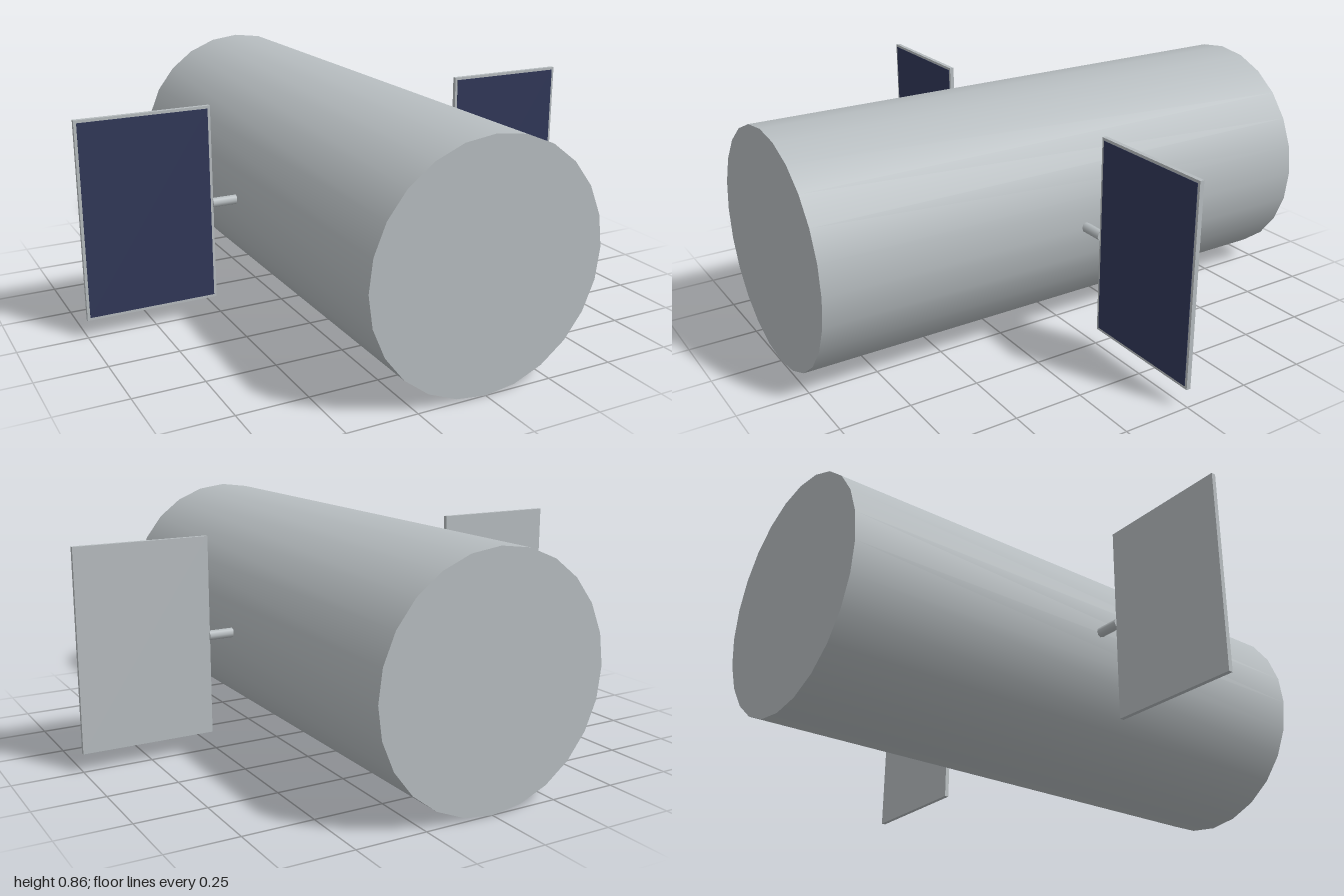
import * as THREE from 'three';

export function createModel() {
  const group = new THREE.Group();
  const metal = new THREE.MeshStandardMaterial({ color: 0xb6bcbf });
  metal.name = 'grey metal';
  const cells = new THREE.MeshStandardMaterial({ color: 0x303758 });
  cells.name = 'dark blue solar cells';

  const midY = 0.43;
  const add = (parent, name, geometry, material, x, y, z) => {
    const mesh = new THREE.Mesh(geometry, material);
    mesh.name = name;
    mesh.position.set(x, y, z);
    parent.add(mesh);
    return mesh;
  };

  // Main hull, lying along z
  const hull = new THREE.CylinderGeometry(0.428, 0.428, 2, 24).rotateX(Math.PI / 2);
  add(group, 'hull', hull, metal, 0, midY, 0);

  // Solar wings on both sides: strut, panel and blue front face
  const strut = new THREE.CylinderGeometry(0.018, 0.018, 0.12, 8).rotateZ(Math.PI / 2);
  const panel = new THREE.BoxGeometry(0.484, 0.724, 0.016);
  const face = new THREE.BoxGeometry(0.464, 0.704, 0.002);
  for (const [side, label] of [[1, 'left'], [-1, 'right']]) {
    const wing = new THREE.Group();
    wing.name = label + 'Wing';
    add(wing, label + 'Strut', strut, metal, side * 0.458, midY + 0.002, 0);
    add(wing, label + 'Panel', panel, metal, side * 0.758, midY + 0.002, 0);
    add(wing, label + 'SolarCells', face, cells, side * 0.758, midY + 0.002, 0.0085);
    group.add(wing);
  }

  return group;
}
